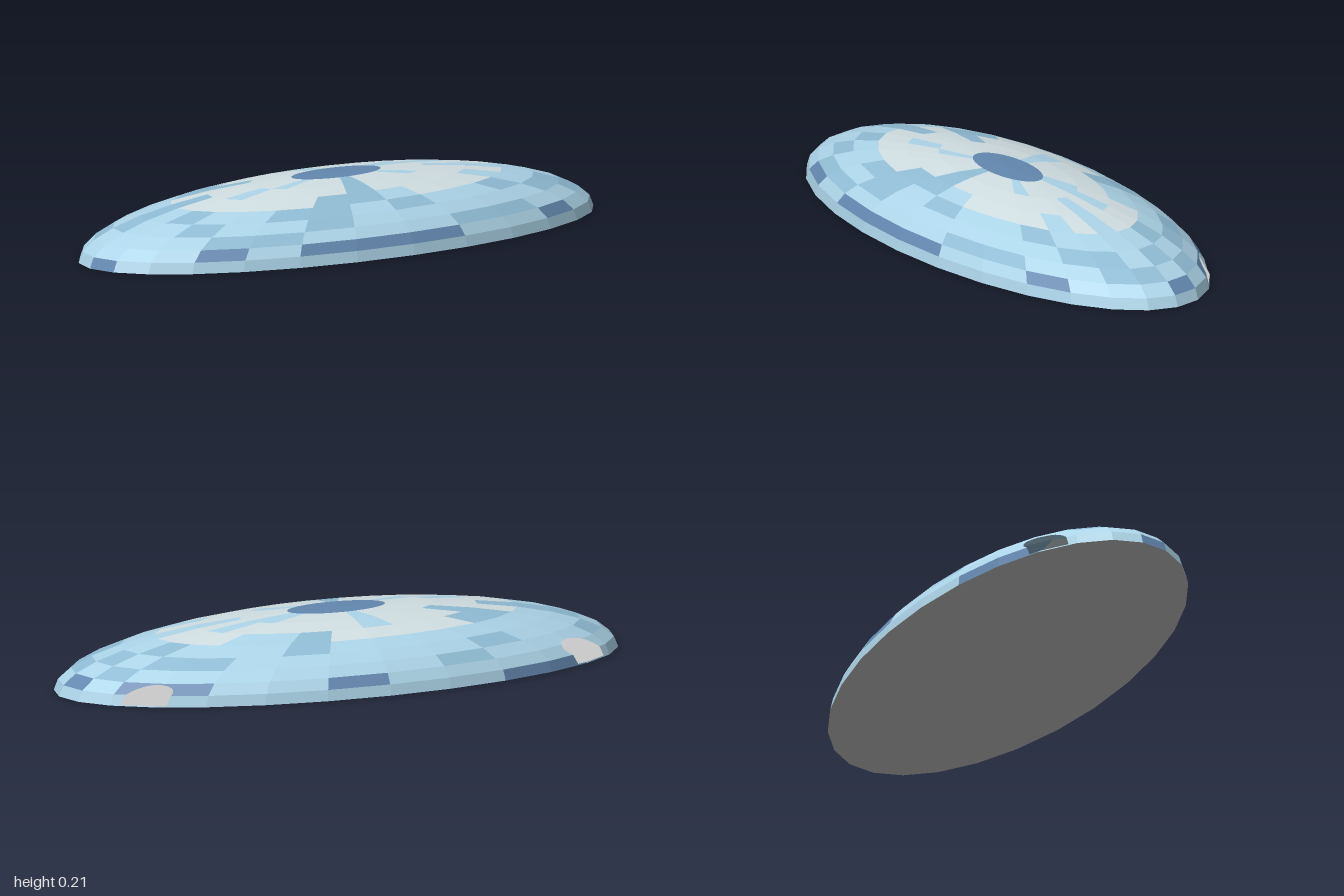
import * as THREE from 'three';

const RX = 0.44, RY = 0.21, RZ = 1;   // half axes of the dome
const SIDES = 28, ROWS = 9;

// Point on the dome: i steps around from the front, j steps up
function domePoint(i, j) {
  const a = (i / SIDES) * Math.PI * 2, t = (j / ROWS) * Math.PI / 2;
  return new THREE.Vector3(RX * Math.cos(t) * Math.sin(a), RY * Math.sin(t), RZ * Math.cos(t) * Math.cos(a));
}

// Outline of a doorway, counter-clockwise in x and y
function archOutline(top) {
  const cx = -0.25, r = 0.04, pts = [[cx - r, 0.004], [cx + r, 0.004]];
  for (let k = 0; k <= 14; k++) {
    const a = (k / 14) * Math.PI;
    pts.push([cx + r * Math.cos(a), top - r + r * Math.sin(a)]);
  }
  return pts;
}

// Part of a convex polygon on one side of a line in x and y
function clip(poly, a, b, sign) {
  const dist = p => sign * ((b[0] - a[0]) * (p.y - a[1]) - (b[1] - a[1]) * (p.x - a[0]));
  const out = [];
  poly.forEach((p, i) => {
    const q = poly[(i + 1) % poly.length], dp = dist(p), dq = dist(q);
    if (dp >= 0) out.push(p);
    if (dp * dq < 0) out.push(p.clone().lerp(q, dp / (dp - dq)));
  });
  return out.length > 2 ? out : [];
}

// Pieces of a facet left after cutting a doorway through it
function cutArch(poly, arch) {
  const pieces = [];
  let rest = poly;
  for (let k = 0; k < arch.length && rest.length; k++) {
    const a = arch[k], b = arch[(k + 1) % arch.length];
    const outside = clip(rest, a, b, -1);
    if (outside.length) pieces.push(outside);
    rest = clip(rest, a, b, 1);
  }
  return rest.length ? pieces : [poly];
}

function seeded(seed) {
  return () => (seed = (seed * 16807) % 2147483647) / 2147483647;
}

function facetMesh(name, polys, color) {
  const pos = [];
  for (const p of polys)
    for (let k = 1; k < p.length - 1; k++)
      for (const v of [p[0], p[k], p[k + 1]]) pos.push(v.x, v.y, v.z);
  const geo = new THREE.BufferGeometry();
  geo.setAttribute('position', new THREE.Float32BufferAttribute(pos, 3));
  geo.computeVertexNormals();
  const mesh = new THREE.Mesh(geo, new THREE.MeshStandardMaterial({ color, flatShading: true, side: THREE.DoubleSide }));
  mesh.name = name;
  return mesh;
}

export function createModel() {
  const group = new THREE.Group();
  group.name = 'dome';
  const panels = { deep: [], medium: [], light: [], pale: [] };
  const colors = { deep: 0x6488b0, medium: 0x90bcd4, light: 0xacd4e8, pale: 0xd0dee2 };
  const random = seeded(71);
  const frontArch = archOutline(0.083), backArch = archOutline(0.068);

  // Patchwork shell: deep patches low down, pale panels towards the top
  for (let j = 0; j < ROWS; j++) {
    for (let i = 0; i < SIDES; i++) {
      const r = random();
      let tone;
      if (j === ROWS - 1) tone = 'deep';
      else if (j === 0) tone = r < 0.15 ? 'deep' : 'light';
      else if (j === 1) tone = r < 0.4 ? 'deep' : 'light';
      else if (j < 5) tone = r < 0.35 ? 'medium' : 'light';
      else tone = r < 0.1 ? 'medium' : r < 0.25 ? 'light' : 'pale';
      const facet = [domePoint(i, j), domePoint(i + 1, j), domePoint(i + 1, j + 1), domePoint(i, j + 1)];
      if (j === ROWS - 1) facet.pop();
      const front = facet[0].z + facet[1].z > 0;
      panels[tone].push(...cutArch(facet, front ? frontArch : backArch));
    }
  }
  for (const tone in panels) group.add(facetMesh(tone + 'Panels', panels[tone], colors[tone]));

  // Oval floor closing the underside
  const rim = [];
  for (let i = 0; i < SIDES; i++) rim.push(domePoint(i, 0));
  group.add(facetMesh('floor', [rim], 0xcccccc));
  return group;
}
